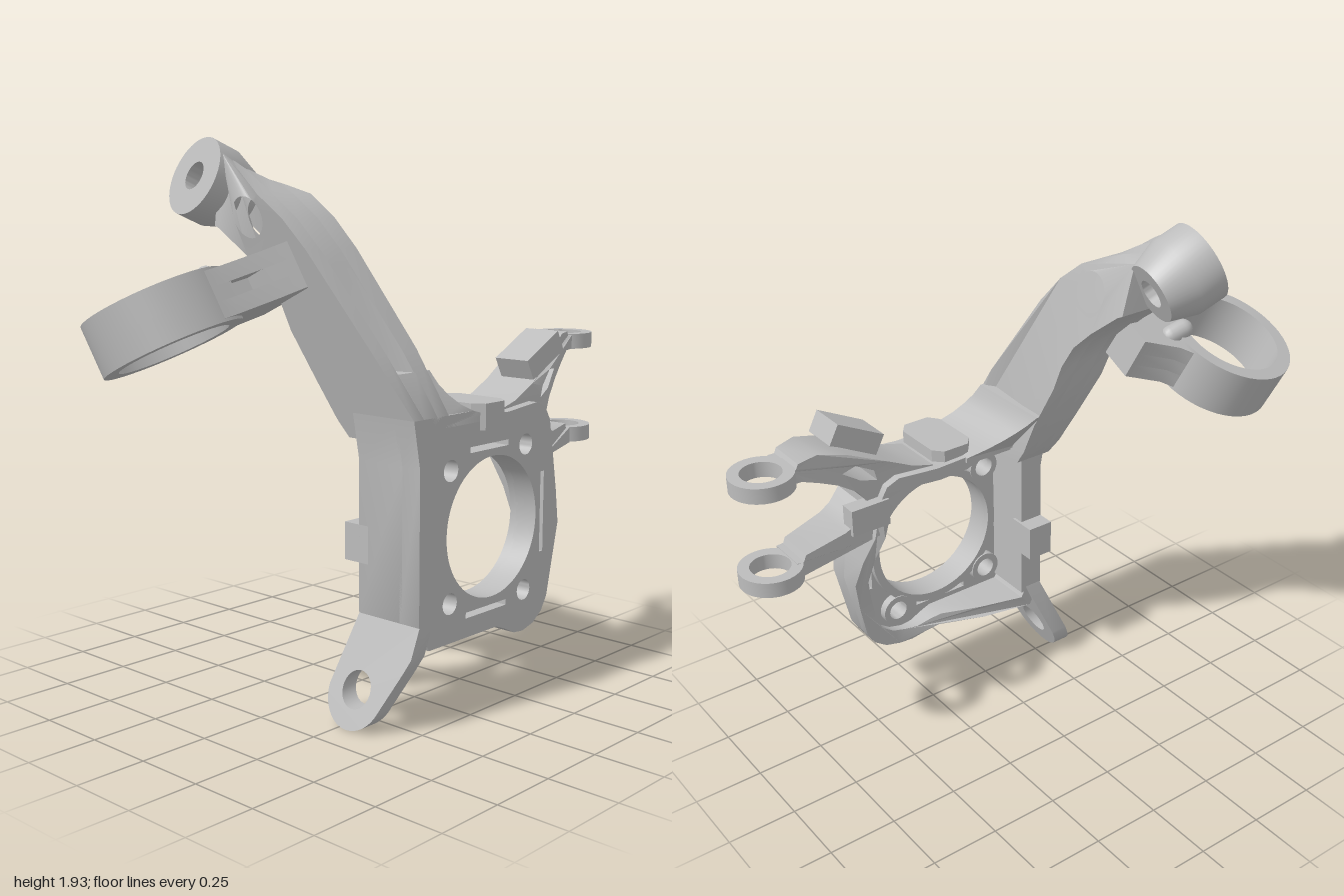
import * as THREE from 'three';
import { toCreasedNormals } from 'three/addons/utils/BufferGeometryUtils.js';

const lerp = THREE.MathUtils.lerp;
const clamp = THREE.MathUtils.clamp;

// Points of a circle or arc in the profile plane
function arc(cx, cy, r, n = 32, a0 = 0, a1 = Math.PI * 2) {
  const full = Math.abs(a1 - a0) > 6.28, pts = [];
  for (let i = 0; i < (full ? n : n + 1); i++) {
    const a = lerp(a0, a1, i / n);
    pts.push([cx + r * Math.cos(a), cy + r * Math.sin(a)]);
  }
  return pts;
}
const rect = (x0, y0, x1, y1) => [[x0, y0], [x1, y0], [x1, y1], [x0, y1]];

export function createModel() {
  const group = new THREE.Group();
  const castMetal = new THREE.MeshStandardMaterial({ color: 0xbcbcbc });

  function add(name, geometry, parent = group) {
    const mesh = new THREE.Mesh(toCreasedNormals(geometry, 0.55), castMetal);
    mesh.name = name;
    parent.add(mesh);
    return mesh;
  }

  // Extrudes a profile by 0..1 along an axis, then lets place(p) move each vertex.
  // Profiles are [x,y] for axis z, [z,y] for axis x and [x,z] for axis y.
  function extrude(name, axis, pts, holes, place, parent) {
    const toVec = ([a, b]) => new THREE.Vector2(axis === 'x' ? -a : a, axis === 'y' ? -b : b);
    const shape = new THREE.Shape(pts.map(toVec));
    shape.holes = holes.map(h => new THREE.Path(h.map(toVec)));
    const geo = new THREE.ExtrudeGeometry(shape, { depth: 1, bevelEnabled: false, steps: 1 });
    if (axis === 'x') geo.rotateY(Math.PI / 2);
    if (axis === 'y') geo.rotateX(-Math.PI / 2);
    const pos = geo.attributes.position, p = new THREE.Vector3();
    for (let i = 0; i < pos.count; i++) {
      p.fromBufferAttribute(pos, i);
      place(p);
      pos.setXYZ(i, p.x, p.y, p.z);
    }
    return add(name, geo, parent);
  }
  const span = (axis, a, b) => p => { p[axis] = lerp(a, b, p[axis]); };

  // Hollow round boss along y; bottom radius r0, top radius r1
  function tube(ri, r0, r1, h) {
    const pts = [[ri, -h / 2], [r0, -h / 2], [r1, 0], [r1, h / 2], [ri, h / 2], [ri, -h / 2]];
    return new THREE.LatheGeometry(pts.map(p => new THREE.Vector2(...p)), 48);
  }
  function box(name, x0, x1, y0, y1, z0, z1) {
    const m = add(name, new THREE.BoxGeometry(x1 - x0, y1 - y0, z1 - z0));
    m.position.set((x0 + x1) / 2, (y0 + y1) / 2, (z0 + z1) / 2);
    return m;
  }

  // Hub plate with bore, bolt holes and slots
  const outline = [[-0.24, 0.36], [-0.19, 0.27], [0, 0.27], [0.17, 0.27], [0.22, 0.25], [0.27, 0.225],
    [0.32, 0.22], [0.38, 0.235], [0.43, 0.27], [0.46, 0.32], [0.49, 0.45], [0.52, 0.58], [0.505, 0.7],
    [0.485, 0.82], [0.46, 0.96], [0.43, 1.01], [0.38, 1.03], [0.22, 1.015], [0.09, 1.02], [0.03, 1.04],
    [-0.27, 1.04], [-0.24, 0.88]];
  const bolts = [[-0.085, 0.855], [0.32, 0.89], [-0.085, 0.406], [0.32, 0.37]];
  extrude('hubPlate', 'z', outline, [
    arc(0.14, 0.63, 0.245, 64), ...bolts.map(([x, y]) => arc(x, y, 0.037, 24)),
    rect(0.015, 0.9, 0.22, 0.92), rect(0, 0.337, 0.22, 0.357), rect(0.41, 0.49, 0.43, 0.78),
  ], span('z', 0.39, 0.475));

  // Rim wall behind the plate, shallower toward the lower left corner
  const inner = outline.map(([x, y]) => [0.12 + (x - 0.12) * 0.87, 0.64 + (y - 0.64) * 0.87]);
  extrude('rimWall', 'z', outline, [inner], p => {
    const u = clamp((p.y - 0.3) / 0.53, 0, 1);
    const back = 0.21 + 0.15 * (1 - u * u) * clamp((p.x + 0.1) / 0.4, 0, 1);
    p.z = lerp(back, 0.4, p.z);
  });
  box('sideWall', -0.238, -0.15, 0.34, 0.98, 0.21, 0.45);
  box('sideBlock', -0.24, -0.14, 0.53, 0.66, 0.145, 0.25);

  // Raised collars behind the bore and bolt holes
  extrude('boreCollar', 'z', arc(0.14, 0.63, 0.275, 64), [arc(0.14, 0.63, 0.245, 64)], span('z', 0.365, 0.4));
  for (const [x, y] of bolts) {
    extrude('boltCollar', 'z', arc(x, y, 0.06, 24), [arc(x, y, 0.037, 24)], span('z', 0.36, 0.4));
  }

  // Strut: three slabs side by side, the middle one notched for the front pocket
  const leftX = y => (y < 1.76 ? -0.27 - (y - 1.04) * 0.285 : -0.475 + (y - 1.76) * 0.45);
  const rightX = y => -0.1 - Math.max(y - 1.17, 0) * 0.22;
  const strutLow = [[0.17, 0.95], [0.475, 0.95], [0.475, 1.04]];
  const strutHigh = [[0.15, 1.57], [0.07, 1.67], [-0.02, 1.745], [-0.13, 1.82], [-0.25, 1.885], [-0.26, 1.64],
    [-0.24, 1.63], [-0.13, 1.54], [-0.06, 1.47], [-0.02, 1.39], [0, 1.3], [0.07, 1.14], [0.13, 1.01]];
  const pocket = [[0.392, 1.18], [0.2, 1.18], [0.05, 1.51], [0.187, 1.51]];
  for (const [name, t0, t1, front] of [
    ['strutOuter', 0, 0.28, [[0.35, 1.25]]],
    ['strutMiddle', 0.28, 0.67, pocket],
    ['strutInner', 0.67, 1, [[0.35, 1.25]]],
  ]) {
    extrude(name, 'x', [...strutLow, ...front, ...strutHigh], [arc(-0.09, 1.67, 0.068)], p => {
      const t = lerp(t0, t1, p.x);
      p.x = lerp(leftX(p.y), rightX(p.y), t);
      p.y -= t * 0.08 * clamp((p.y - 1.75) / 0.13, 0, 1);
    });
  }

  // Fillet between strut and hub plate
  extrude('strutFillet', 'z', [[-0.2, 1], [0.1, 1], [0.1, 1.02], [0.03, 1.04], [-0.02, 1.065], [-0.06, 1.1],
    [-0.085, 1.135], [-0.1, 1.18], [-0.2, 1.18]], [], p => {
    const front = 0.475 - Math.max(p.y - 1.04, 0) * 0.595;
    p.z = lerp(0.2 - Math.max(p.y - 1.02, 0) * 0.92, front, p.z);
  });

  // Tilted eye at the top of the strut
  const up = new THREE.Vector3(0, 1, 0);
  const topBoss = add('topBoss', tube(0.05, 0.105, 0.14, 0.2));
  topBoss.position.set(-0.355, 1.765, -0.34);
  topBoss.quaternion.setFromUnitVectors(up, new THREE.Vector3(-0.9, 0.4, -0.15).normalize());

  // Clamp ring and its web, built in the ring's own tilted frame
  const ring = new THREE.Group();
  ring.name = 'clampRing';
  ring.position.set(-0.745, 1.34, -0.17);
  ring.quaternion.setFromUnitVectors(up, new THREE.Vector3(-0.17, 0.9, -0.4).normalize());
  group.add(ring);
  add('ringBand', tube(0.19, 0.24, 0.24, 0.18), ring);
  const webEnd = [[0.34, 0.32], [0.4, 0.26], [0.4, 0.02], [0.27, -0.03], [0.2, -0.09], [0.2, 0.08], [0.15, 0.155]];
  const webFront = [[0.03, 0.215], [0.04, 0.236], [0.1, 0.24]];
  const webSlot = [[0.12, 0.242], [0.13, 0.19], [0.23, 0.2], [0.23, 0.272]];
  for (const [name, y0, y1, mid] of [
    ['webLower', -0.08, -0.025, []], ['webMiddle', -0.025, 0.025, webSlot], ['webUpper', 0.025, 0.08, []],
  ]) {
    extrude(name, 'y', [...webFront, ...mid, [0.25, 0.28], ...webEnd], [], span('y', y0, y1), ring);
  }
  const pin = add('clampPin', new THREE.CapsuleGeometry(0.035, 0.05, 6, 16), ring);
  pin.position.set(0.235, 0.085, 0.04);
  pin.rotation.z = Math.PI / 3;

  // Lower lug, leaning outward
  extrude('lowerLug', 'x', [[0.21, 0.36], [0.475, 0.36], [0.475, 0.26], [0.455, 0.21],
    ...arc(0.285, 0.125, 0.12, 24, -0.35, -Math.PI)], [arc(0.285, 0.13, 0.06)], p => {
    p.x = -0.388 + p.y * 0.42 + p.x * 0.066;
  });

  // Fork arms: profiles narrowed in depth toward the eyes
  const forkDepth = p => {
    const u = clamp((p.x - 0.47) / 0.32, 0, 1);
    p.z = lerp(lerp(0.24, 0.17, u), lerp(0.44, 0.315, u), p.z);
  };
  extrude('upperArm', 'z', [[0.22, 1.0], [0.22, 1.018], [0.3, 1.04], [0.4, 1.09], [0.57, 1.18], [0.7, 1.235],
    [0.78, 1.235], [0.79, 1.218], [0.815, 1.218], [0.815, 1.168], [0.77, 1.165], [0.7, 1.13], [0.62, 1.085],
    [0.54, 1.025], [0.49, 0.96], [0.4, 0.96]],
  [[[0.45, 1.035], [0.52, 1.06], [0.6, 1.12], [0.54, 1.125], [0.46, 1.075]]], forkDepth);
  extrude('lowerArm', 'z', [[0.46, 0.81], [0.815, 0.81], [0.815, 0.868], [0.79, 0.868], [0.78, 0.888],
    [0.6, 0.89], [0.55, 0.905], [0.505, 0.94], [0.46, 0.98]], [], forkDepth);
  for (const y of [1.193, 0.838]) {
    add('forkEye', tube(0.07, 0.11, 0.11, 0.056)).position.set(0.89, y, 0.22);
  }
  box('forkWeb', 0.44, 0.5, 0.81, 1.0, 0.24, 0.42);
  box('forkRearTab', 0.43, 0.58, 0.87, 0.97, 0.2, 0.26);

  // Pads on top of the arm and plate
  const pad = box('armPad', 0.39, 0.59, 1.14, 1.22, 0.29, 0.43);
  pad.rotation.z = 0.48;
  extrude('topPad', 'y', [[0.075, 0.23], [0.175, 0.23], [0.207, 0.265], [0.207, 0.45], [0.175, 0.49],
    [0.075, 0.49], [0.045, 0.45], [0.045, 0.265]], [], span('y', 0.97, 1.06));

  return group;
}
